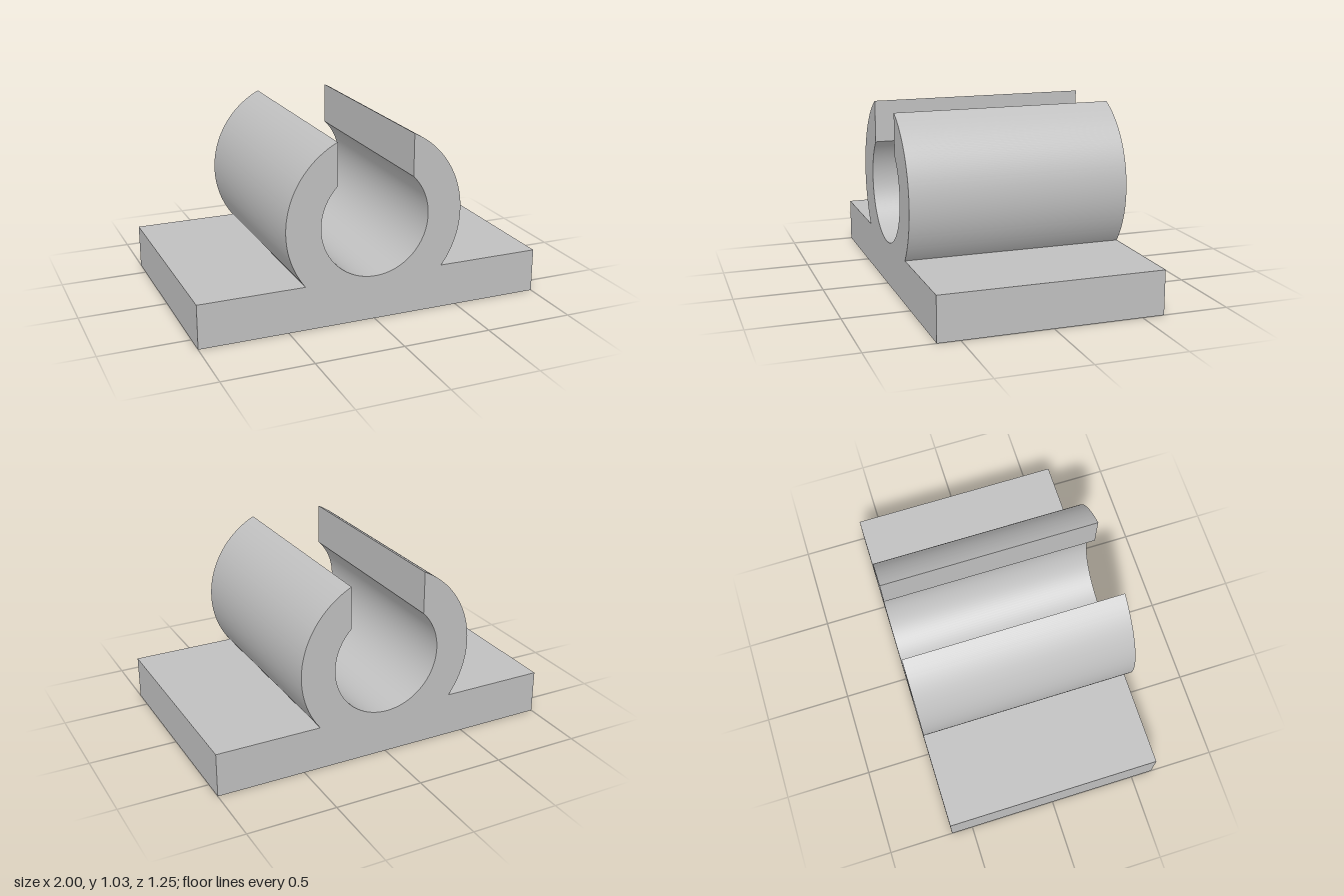
import * as THREE from 'three';
import { toCreasedNormals } from 'three/addons/utils/BufferGeometryUtils.js';

const DEPTH = 1.25;
const PLATE_HEIGHT = 0.25;
const CENTRE_Y = 0.564;
const OUTER_R = 0.511;
const INNER_R = 0.313;
const SLOT_HALF = 0.22;

// Cross-section: flat base plate joined to an open-topped ring
function clipProfile() {
  const foot = Math.asin((PLATE_HEIGHT - CENTRE_Y) / OUTER_R);
  const outerLip = Math.acos(SLOT_HALF / OUTER_R);
  const innerLip = Math.acos(SLOT_HALF / INNER_R);

  const shape = new THREE.Shape();
  shape.moveTo(-1, 0);
  shape.lineTo(1, 0);
  shape.lineTo(1, PLATE_HEIGHT);
  // Outside of the +x arm, inside of the ring, outside of the -x arm
  shape.absarc(0, CENTRE_Y, OUTER_R, foot, outerLip, false);
  shape.absarc(0, CENTRE_Y, INNER_R, innerLip, Math.PI - innerLip, true);
  shape.absarc(0, CENTRE_Y, OUTER_R, Math.PI - outerLip, Math.PI - foot, false);
  shape.lineTo(-1, PLATE_HEIGHT);
  shape.closePath();
  return shape;
}

export function createModel() {
  const grey = new THREE.MeshStandardMaterial({ color: 0xc0c0c0 });
  grey.name = 'light grey';

  // Base and clip are one continuous extruded body
  const extruded = new THREE.ExtrudeGeometry(clipProfile(), {
    depth: DEPTH, bevelEnabled: false, curveSegments: 48,
  });
  extruded.translate(0, 0, -DEPTH / 2);

  const body = new THREE.Mesh(toCreasedNormals(extruded, 0.4), grey);
  body.name = 'clipBody';

  const model = new THREE.Group();
  model.name = 'pipeClip';
  model.add(body);
  return model;
}
